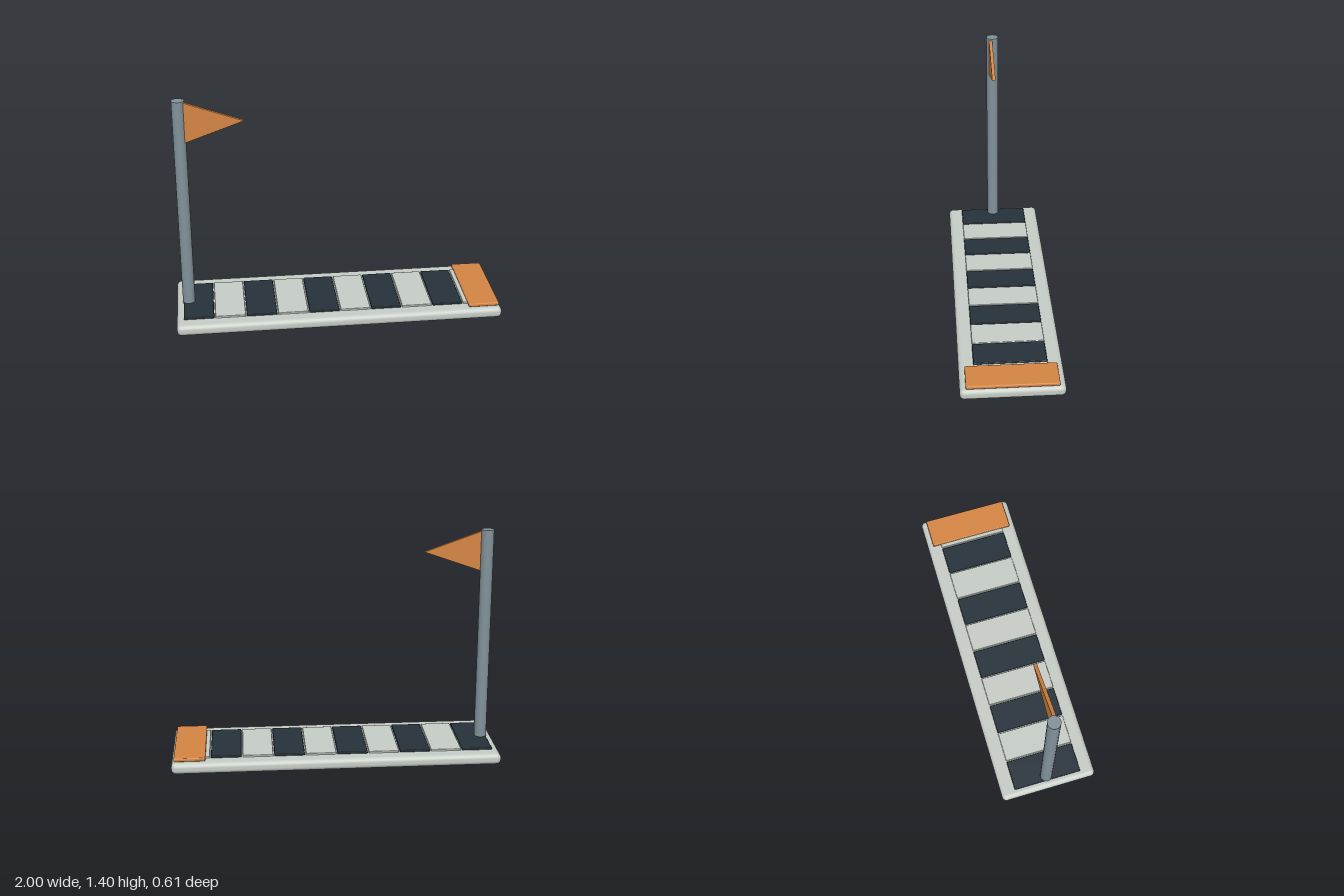
import * as THREE from 'three';
import { RoundedBoxGeometry } from 'three/addons/geometries/RoundedBoxGeometry.js';

const material = (name, color) => {
  const m = new THREE.MeshStandardMaterial({ color });
  m.name = name;
  return m;
};

export function createModel() {
  const paleGrey = material('paleGrey', 0xc6ccc6);
  const darkNavy = material('darkNavy', 0x25313a);
  const orange = material('orange', 0xd58543);
  const steel = material('steel', 0x82929a);

  const model = new THREE.Group();
  model.name = 'stripedRunway';

  const add = (parent, name, geometry, mat, x, y, z) => {
    const mesh = new THREE.Mesh(geometry, mat);
    mesh.name = name;
    mesh.position.set(x, y, z);
    parent.add(mesh);
    return mesh;
  };

  // Rounded base slab
  add(model, 'base', new RoundedBoxGeometry(2, 0.068, 0.61, 4, 0.028), paleGrey, 0, 0.034, 0);

  // Alternating dark and pale tiles along the slab
  const tiles = new THREE.Group();
  tiles.name = 'tiles';
  model.add(tiles);
  const tileGeometry = new RoundedBoxGeometry(0.185, 0.016, 0.434, 2, 0.005);
  for (let i = 0; i < 10; i++) {
    const dark = i % 2 === 0;
    add(tiles, dark ? 'darkTile' : 'paleTile', tileGeometry, dark ? darkNavy : paleGrey,
      -0.865 + i * 0.192, 0.072, 0);
  }

  // Raised plate at the far end
  add(model, 'endPlate', new RoundedBoxGeometry(0.19, 0.022, 0.54, 2, 0.007), orange, 0.891, 0.081, 0);

  // Flag pole
  add(model, 'pole', new THREE.CylinderGeometry(0.038, 0.038, 1.335, 24), steel, -0.924, 0.7325, 0);

  // Triangular pennant, fixed to the pole slightly forward of its centre
  const pennant = new THREE.Shape([
    new THREE.Vector2(-0.895, 1.143),
    new THREE.Vector2(-0.545, 1.267),
    new THREE.Vector2(-0.895, 1.391),
  ]);
  add(model, 'flag', new THREE.ExtrudeGeometry(pennant, { depth: 0.021, bevelEnabled: false }), orange, 0, 0, 0.001);

  return model;
}
